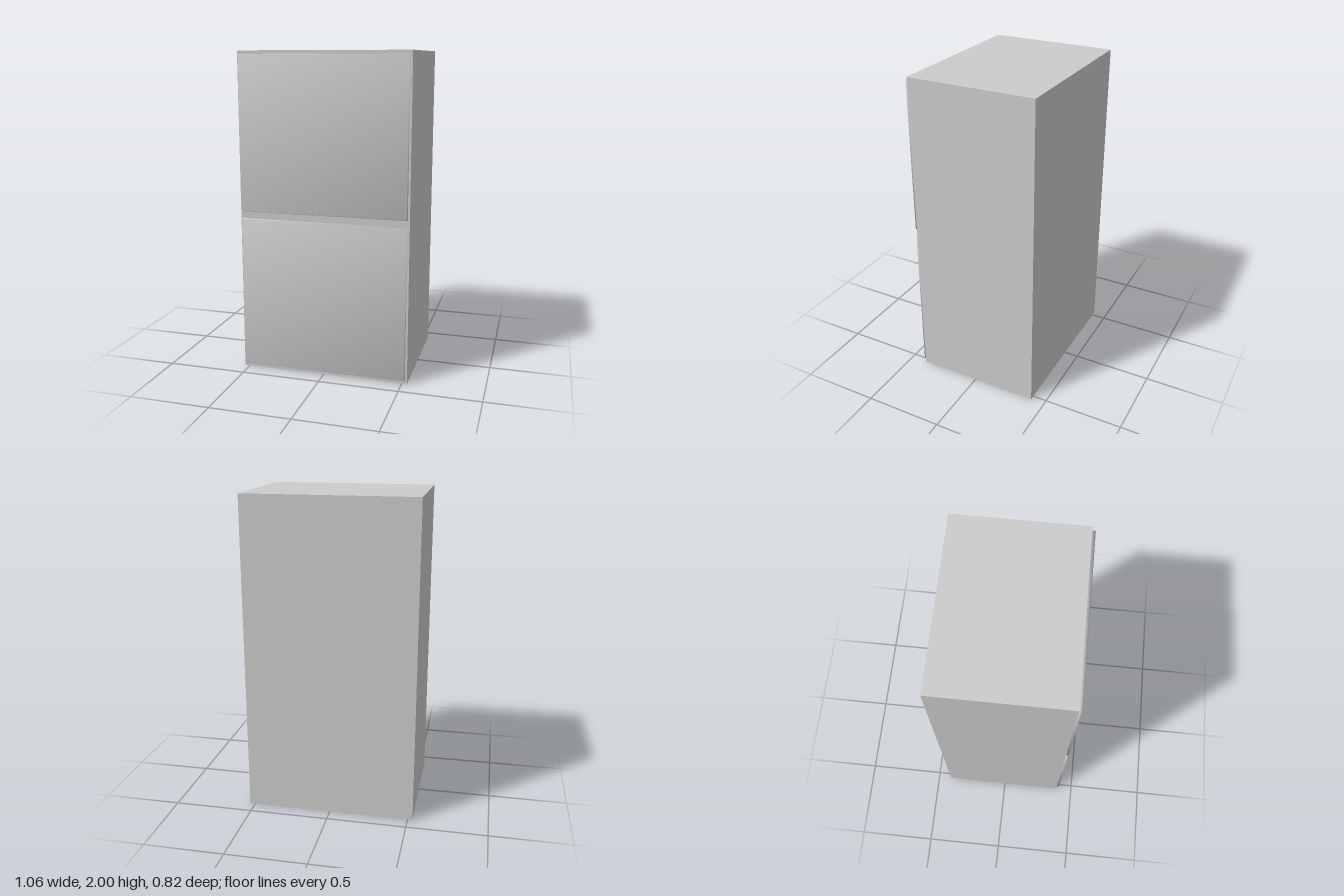
import * as THREE from 'three';

const material = new THREE.MeshStandardMaterial({ color: 0xcccccc, side: THREE.DoubleSide });

// Thin box shell, open underneath
function cabinetShell(width, height, depth) {
  const geometry = new THREE.BoxGeometry(width, height, depth);
  const index = Array.from(geometry.index.array);
  index.splice(18, 6); // bottom face
  geometry.setIndex(index);
  geometry.clearGroups();
  return geometry;
}

// Bevelled panel lofted from rectangular rings, closed at the front, with soft corner normals
function doorPanel(width, height, depth, bevel) {
  // inset, z, outward tilt of the normal
  const rings = [
    [bevel, 0, 1],
    [0, bevel, 1],
    [0, depth - bevel, 1],
    [bevel, depth, 0.2],
  ];
  const corners = [[-1, -1], [1, -1], [1, 1], [-1, 1]];
  const positions = [], normals = [], index = [];
  rings.forEach(([inset, z, tilt], r) => {
    corners.forEach(([sx, sy], c) => {
      positions.push(sx * (width / 2 - inset), sy * (height / 2 - inset), z);
      const n = new THREE.Vector3(sx * tilt, sy * tilt, r < 2 ? 0 : 1).normalize();
      normals.push(n.x, n.y, n.z);
      if (r > 0) {
        const next = (c + 1) % 4, a = (r - 1) * 4, b = r * 4;
        index.push(a + c, a + next, b + next, a + c, b + next, b + c);
      }
    });
  });
  const f = (rings.length - 1) * 4;
  index.push(f, f + 1, f + 2, f, f + 2, f + 3);

  const geometry = new THREE.BufferGeometry();
  geometry.setAttribute('position', new THREE.Float32BufferAttribute(positions, 3));
  geometry.setAttribute('normal', new THREE.Float32BufferAttribute(normals, 3));
  geometry.setIndex(index);
  return geometry;
}

export function createModel() {
  const model = new THREE.Group();
  model.name = 'cabinet';

  // Cabinet body
  const body = new THREE.Mesh(cabinetShell(1.064, 2, 0.8), material);
  body.name = 'cabinetBody';
  body.position.set(0, 1, -0.01);
  model.add(body);

  // Two stacked door panels
  const panel = doorPanel(1.04, 0.955, 0.02, 0.004);
  [['lowerDoor', 0.502], ['upperDoor', 1.502]].forEach(([name, y]) => {
    const door = new THREE.Mesh(panel, material);
    door.name = name;
    door.position.set(0, y, 0.39);
    model.add(door);
  });

  return model;
}
